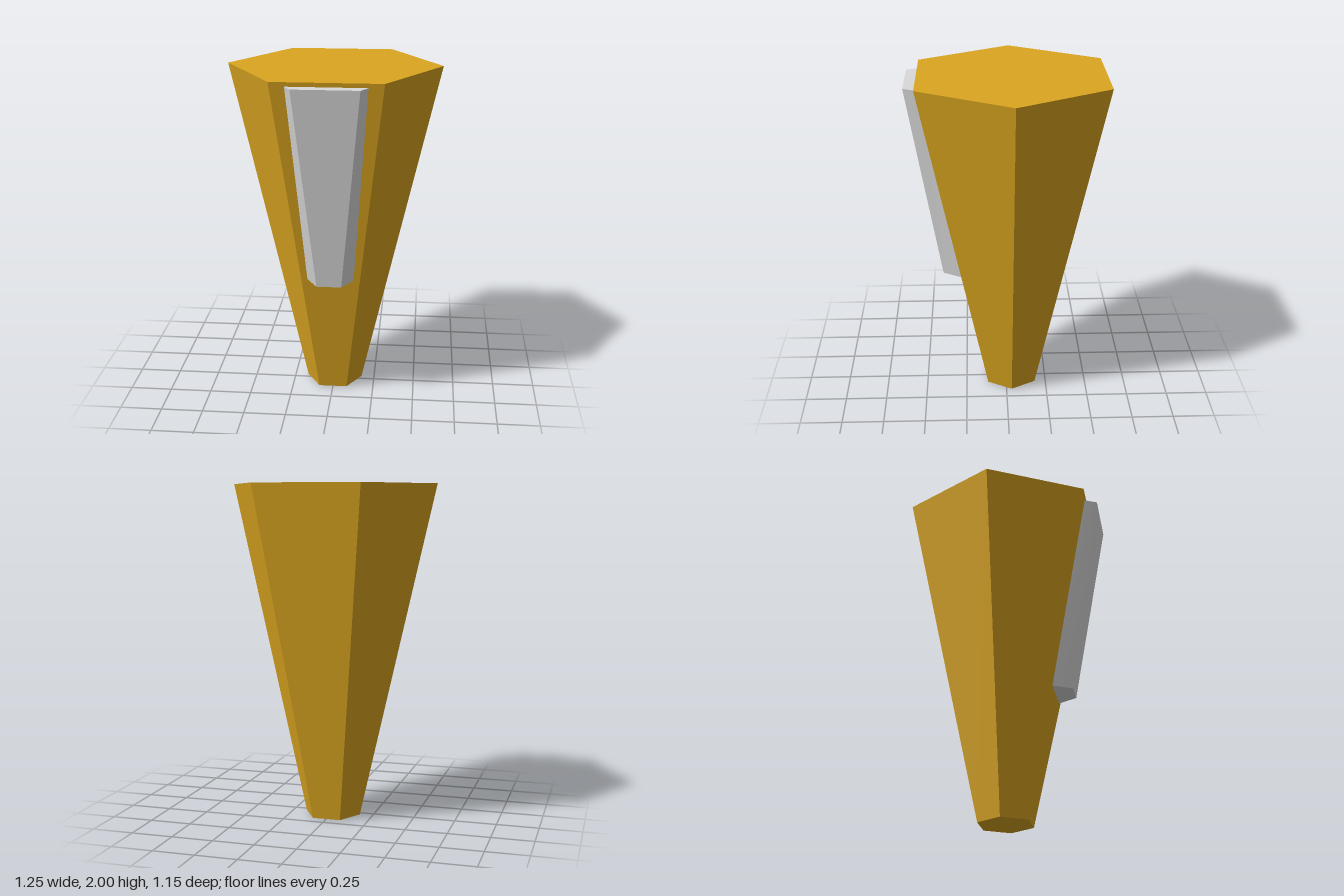
import * as THREE from 'three';

export function createModel() {
  const model = new THREE.Group();
  const gold = new THREE.MeshStandardMaterial({ color: 0xdaa520 });
  gold.name = 'gold';
  const grey = new THREE.MeshStandardMaterial({ color: 0xd9d9d9 });
  grey.name = 'light grey';

  // Tapered six-sided body, with a flat side to the front
  const bodyGeometry = new THREE.CylinderGeometry(0.625, 0.17, 2, 6, 1, false, Math.PI / 6).toNonIndexed();
  bodyGeometry.computeVertexNormals();
  const body = new THREE.Mesh(bodyGeometry, gold);
  body.name = 'body';
  body.position.set(0, 1, -0.033);
  model.add(body);

  // Bevelled front panel: a box whose ends and faces are tapered
  const ends = {
    top: { y: 1.975, frontZ: 0.575, backZ: 0.498, frontHalf: 0.187, backHalf: 0.228 },
    bottom: { y: 0.78, frontZ: 0.38, backZ: 0.262, frontHalf: 0.072, backHalf: 0.14 },
  };
  const panelGeometry = new THREE.BoxGeometry(2, 2, 2);
  const p = panelGeometry.attributes.position;
  for (let i = 0; i < p.count; i++) {
    const end = p.getY(i) > 0 ? ends.top : ends.bottom;
    const isFront = p.getZ(i) > 0;
    p.setXYZ(i, p.getX(i) * (isFront ? end.frontHalf : end.backHalf), end.y, isFront ? end.frontZ : end.backZ);
  }
  panelGeometry.computeVertexNormals();
  const panel = new THREE.Mesh(panelGeometry, grey);
  panel.name = 'frontPanel';
  model.add(panel);

  return model;
}
